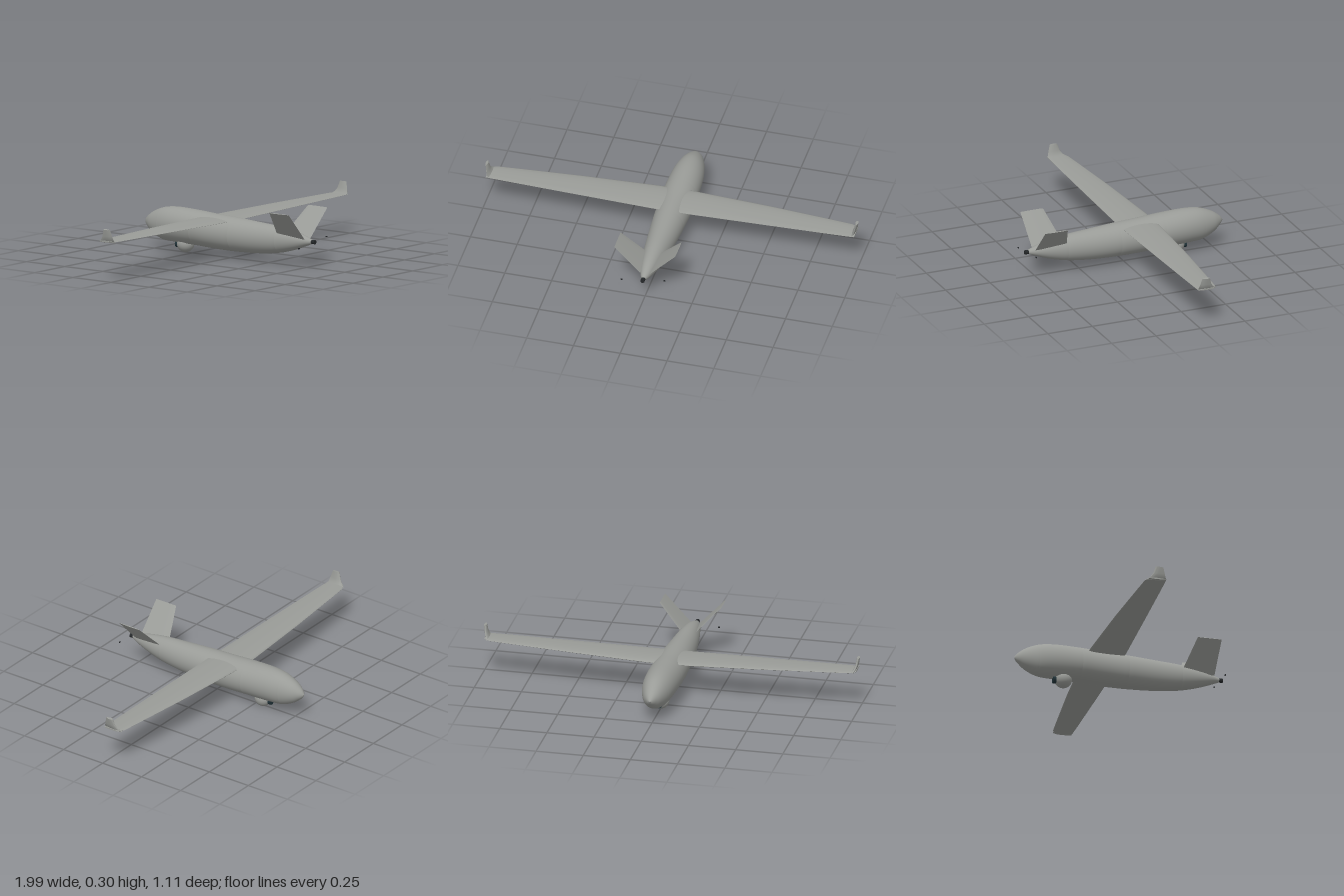
import * as THREE from 'three';
import { toCreasedNormals } from 'three/addons/utils/BufferGeometryUtils.js';

const mat = (name, color) => Object.assign(new THREE.MeshStandardMaterial({ color }), { name });

// Skin a list of closed rings, with both ends capped
function loft(rings, flip, caps = true) {
  const n = rings[0].length, pos = [], idx = [];
  rings.forEach(r => r.forEach(p => pos.push(...p)));
  const tri = (a, b, c) => (flip ? idx.push(a, c, b) : idx.push(a, b, c));
  for (let i = 0; i < rings.length - 1; i++) {
    for (let j = 0; j < n; j++) {
      const k = (j + 1) % n, a = i * n + j, b = i * n + k;
      tri(a, b, a + n);
      tri(b, b + n, a + n);
    }
  }
  if (caps) {
    const end = (rings.length - 1) * n;
    for (let j = 1; j < n - 1; j++) {
      tri(0, j + 1, j);
      tri(end, end + j, end + j + 1);
    }
  }
  const g = new THREE.BufferGeometry();
  g.setAttribute('position', new THREE.Float32BufferAttribute(pos, 3));
  g.setIndex(idx);
  g.computeVertexNormals();
  return g;
}

// Aerofoil ring between chord fractions c0 and c1; angle turns the thickness direction
function foil(side, [x, y, zLead, zTrail, thick, angle = 0], c0 = 0, c1 = 1) {
  const steps = 8, ring = [];
  const half = c => thick * (1.9 * Math.sqrt(c) * (1 - c) ** 0.8 * 0.55 + 0.03);
  const put = (c, h) => ring.push([
    side * (x - Math.sin(angle) * h), y + Math.cos(angle) * h, zLead + (zTrail - zLead) * c]);
  const at = i => c0 + (c1 - c0) * (c0 === 0 ? (i / steps) ** 2 : i / steps);
  for (let i = 0; i <= steps; i++) put(at(i), half(at(i)));
  for (let i = steps; i >= 0; i--) put(at(i), -half(at(i)) * 0.8);
  return ring;
}

export function createModel() {
  const model = new THREE.Group();
  const grey = mat('airframe grey', 0x9a9c98);
  const black = mat('dark fittings', 0x25282a);
  const glass = mat('sensor glass', 0x22343a);
  const add = (name, geometry, material) => {
    const m = new THREE.Mesh(geometry, material);
    m.name = name;
    model.add(m);
    return m;
  };

  // Fuselage stations: z, top, bottom, half width
  const stations = [
    [-0.555, 0.146, 0.134, 0.006], [-0.545, 0.16, 0.121, 0.017], [-0.53, 0.174, 0.107, 0.029],
    [-0.5, 0.195, 0.083, 0.047], [-0.435, 0.222, 0.055, 0.069], [-0.36, 0.232, 0.049, 0.082],
    [-0.21, 0.228, 0.045, 0.09], [-0.1, 0.221, 0.04, 0.089], [0.04, 0.215, 0.038, 0.083],
    [0.2, 0.205, 0.044, 0.071], [0.33, 0.196, 0.06, 0.058], [0.43, 0.181, 0.086, 0.042],
    [0.5, 0.161, 0.112, 0.025], [0.535, 0.148, 0.126, 0.011]];
  const topLine = new THREE.CatmullRomCurve3(stations.map(s => new THREE.Vector3(s[0], s[1], s[3])));
  const lowLine = new THREE.CatmullRomCurve3(stations.map(s => new THREE.Vector3(s[0], s[2], 0)));
  const hullRing = u => {
    const t = topLine.getPoint(u), b = lowLine.getPoint(u);
    return Array.from({ length: 40 }, (_, j) => {
      const a = j / 40 * Math.PI * 2;
      return [Math.cos(a) * t.z, (t.y + b.y) / 2 + Math.sin(a) * (t.y - b.y) / 2, t.x];
    });
  };
  // Fuselage panels, split at the joints between sections
  const joints = [0, 4, 6, 8, 10, 13];
  ['noseCone', 'frontFuselage', 'centreFuselage', 'rearFuselage', 'tailCone'].forEach((name, i) => {
    const rings = [];
    const count = (joints[i + 1] - joints[i]) * 6;
    for (let k = 0; k <= count; k++) rings.push(hullRing((joints[i] + k / 6) / 13));
    add(name, loft(rings, false, false), grey);
  });
  const noseTip = add('noseTip', new THREE.SphereGeometry(0.006, 16, 10), grey);
  noseTip.position.set(0, 0.14, -0.549);

  // Propeller hub at the tail
  const hub = add('propellerHub', new THREE.CylinderGeometry(0.011, 0.011, 0.025, 16), black);
  hub.rotation.x = Math.PI / 2;
  hub.position.set(0, 0.137, 0.5425);

  // Wings, winglets and tail fins: x, y, leading z, trailing z, thickness, angle
  const wing = [
    [0.02, 0.195, -0.175, 0.021, 0.028], [0.1, 0.195, -0.173, 0.02, 0.026],
    [0.5, 0.2, -0.146, 0.013, 0.018], [0.85, 0.204, -0.114, 0.006, 0.011],
    [0.95, 0.205, -0.104, 0.003, 0.01], [0.984, 0.206, -0.085, 0.002, 0.009]];
  const winglet = [
    [0.968, 0.203, -0.1, 0.001, 0.016, 1.0], [0.977, 0.215, -0.082, 0, 0.018, 1.35],
    [0.983, 0.235, -0.068, -0.006, 0.018, 1.42], [0.989, 0.27, -0.057, -0.016, 0.018, 1.42]];
  const fin = [[0.025, 0.15, 0.33, 0.505, 0.006, 0.81], [0.162, 0.294, 0.382, 0.509, 0.005, 0.81]];
  for (const side of [1, -1]) {
    const tag = side > 0 ? 'left' : 'right';
    const surface = (name, list, c0, c1) => add(tag + name, toCreasedNormals(
      loft(list.map(s => foil(side, s, c0, c1)), side < 0), 0.6), grey);
    surface('Wing', wing, 0, 0.8);
    surface('WingFlap', wing, 0.8, 1);
    surface('Winglet', winglet, 0, 1);
    surface('TailFin', fin, 0, 1);

    // Propeller blade tip marks
    const tip = add(tag + 'PropellerTip', new THREE.BoxGeometry(0.01, 0.006, 0.004), black);
    tip.position.set(side * 0.115, 0.134 + side * 0.017, 0.54);
  }

  // Sensor turret under the nose, looking forward
  const ball = add('sensorBall', new THREE.SphereGeometry(0.044, 32, 20), grey);
  ball.position.set(0, 0.044, -0.295);
  ball.scale.z = 1.05;
  const lens = add('sensorLens', new THREE.CylinderGeometry(0.02, 0.02, 0.035, 24), glass);
  lens.rotation.x = Math.PI / 2;
  lens.position.set(0, 0.04, -0.333);

  // Stand the turret on the ground plane
  const low = new THREE.Box3().setFromObject(model).min.y;
  model.children.forEach(c => { c.position.y -= low; });
  return model;
}
